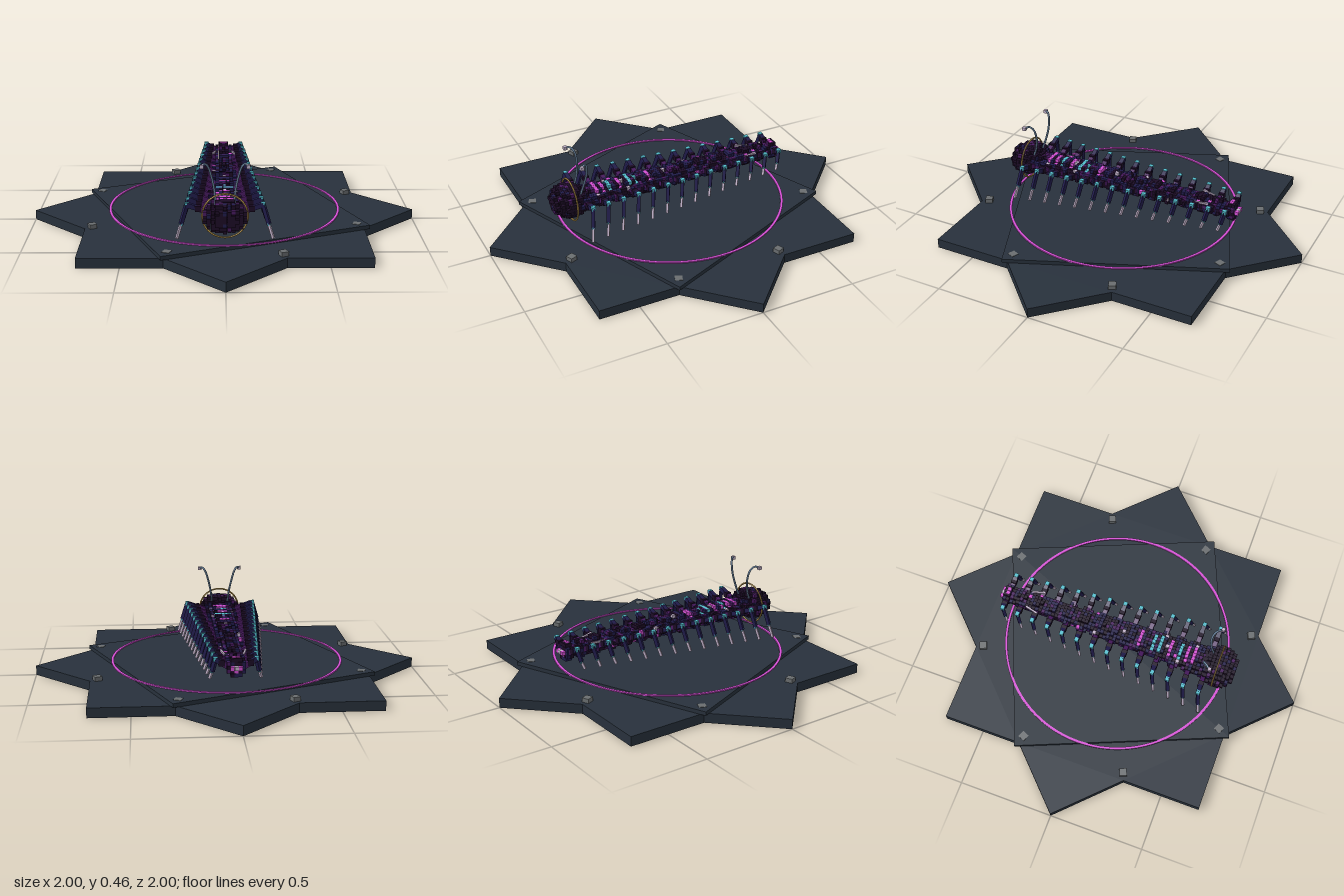
import * as THREE from 'three';
import { mergeGeometries } from 'three/addons/utils/BufferGeometryUtils.js';

const mat = (name, color) => {
  const m = new THREE.MeshStandardMaterial({ color });
  m.name = name;
  return m;
};

export function createModel() {
  const M = {
    slate: mat('slate', 0x28313c),
    grey: mat('marker grey', 0x6a6e70),
    magenta: mat('magenta', 0xd650d6),
    gold: mat('gold', 0xb8964a),
    plum: mat('dark plum', 0x1c0c26),
    indigo: mat('indigo', 0x211c4c),
    violet: mat('violet', 0x481a60),
    cyan: mat('cyan', 0x55c0d0),
    pale: mat('pale lilac', 0xc4b4cc),
    steel: mat('steel blue', 0x6c86a2),
  };
  const root = new THREE.Group();
  const add = (name, geo, material, parent = root) => {
    const mesh = new THREE.Mesh(geo, material);
    mesh.name = name;
    parent.add(mesh);
    return mesh;
  };
  let seed = 7;
  const rnd = () => (seed = (seed * 16807) % 2147483647) / 2147483647;
  const V = (x, y, z) => new THREE.Vector3(x, y, z);
  const slab = (shape, depth, curveSegments = 12) =>
    new THREE.ExtrudeGeometry(shape, { depth, bevelEnabled: false, curveSegments }).rotateX(-Math.PI / 2);

  // Eight-pointed plinth
  const star = new THREE.Shape();
  for (let i = 0; i < 16; i++) {
    const r = i % 2 ? Math.SQRT1_2 / Math.cos(Math.PI / 8) : 1;
    const a = (i * Math.PI) / 8;
    star[i ? 'lineTo' : 'moveTo'](r * Math.cos(a), r * Math.sin(a));
  }
  star.closePath();
  add('plinth', slab(star, 0.05), M.slate);

  // Turned square deck
  const deck = add('deck', new THREE.BoxGeometry(1.125, 0.02, 1.125), M.slate);
  deck.position.y = 0.06;
  deck.rotation.y = Math.PI / 8;

  // Flat floor ring
  const band = new THREE.Shape().absarc(0, 0, 0.607, 0, Math.PI * 2);
  band.holes.push(new THREE.Path().absarc(0, 0, 0.594, 0, Math.PI * 2, true));
  add('floorRing', slab(band, 0.006, 48), M.magenta).position.y = 0.07;

  // Corner markers
  for (let i = 0; i < 8; i++) {
    const a = Math.PI / 8 + (i * Math.PI) / 4;
    const marker = add('marker', new THREE.BoxGeometry(0.038, 0.024, 0.038), M.grey);
    marker.position.set(0.725 * Math.cos(a), 0.06, 0.725 * Math.sin(a));
    marker.rotation.y = -a;
  }

  // Cubes and beams are gathered by colour, then merged
  const makeBuilder = (name) => {
    const bins = {};
    const put = (key, g) => (bins[key] ??= []).push(g);
    return {
      cube: (key, p, s) => put(key, new THREE.BoxGeometry(s, s, s).translate(p.x, p.y, p.z)),
      beam(key, a, b, w) {
        const d = b.clone().sub(a);
        const g = new THREE.BoxGeometry(w, w, d.length());
        g.lookAt(d);
        const c = a.clone().add(b).multiplyScalar(0.5);
        put(key, g.translate(c.x, c.y, c.z));
      },
      finish() {
        const parent = new THREE.Group();
        parent.name = name;
        root.add(parent);
        for (const k in bins) add(`${name} ${M[k].name}`, mergeGeometries(bins[k]), M[k], parent);
      },
    };
  };

  // Segmented body: a shell of cubes tapering to the tail
  const step = 0.0185, midY = 0.207, pitch = 0.0862;
  const stripes = [
    [0.43, 'magenta'], [0.39, 'magenta'], [0.36, 'cyan'], [0.295, 'magenta'],
    [0.25, 'cyan'], [0.195, 'cyan'], [0.13, 'magenta'],
  ];
  const body = makeBuilder('body');
  for (let z = 0.5; z > -0.645; z -= step) {
    const t = (0.5 - z) / 1.14;
    const phase = Math.cos(((z - 0.5) / pitch) * 2 * Math.PI);
    const w = 0.082 - 0.04 * t + 0.006 * phase;
    const h = 0.041 - 0.004 * t + 0.003 * phase;
    const stripe = stripes.find(([sz]) => Math.abs(sz - z) <= step / 2);
    const inside = (i, j) => Math.abs((i * step) / w) ** 2.4 + Math.abs((j * step) / h) ** 2.4 <= 1;
    for (let i = -5; i <= 5; i++) {
      for (let j = -3; j <= 3; j++) {
        if (!inside(i, j)) continue;
        const edge = !inside(i + 1, j) || !inside(i - 1, j) || !inside(i, j + 1) || !inside(i, j - 1);
        if (!edge && z > -0.6) continue;
        const r = rnd();
        let key = r < 0.46 ? 'plum' : r < 0.83 ? 'indigo' : r < 0.965 ? 'violet' : r < 0.99 ? 'magenta' : 'pale';
        if (stripe && Math.abs(i) < 3 && j > 0 && !inside(i, j + 1)) key = stripe[1];
        body.cube(key, V(i * step, midY + j * step, z), step * 0.95);
      }
    }
  }
  // Tail tip and trailing filaments
  for (const x of [-1, 0, 1]) body.cube(x ? 'magenta' : 'pale', V(x * 0.02, midY, -0.648), 0.019);
  for (const x of [-1, 1]) body.cube('magenta', V(x * 0.01, 0.247, -0.615), 0.018);
  for (const s of [-1, 1]) body.beam('pale', V(s * 0.045, 0.232, -0.5), V(s * 0.062, 0.238, -0.43), 0.009);
  body.finish();

  // Fourteen pairs of jointed legs
  const legs = makeBuilder('legs');
  for (let i = 0; i < 14; i++) {
    const s = 1 - (0.47 * i) / 13;
    const z = 0.505 - i * pitch;
    for (const m of [-1, 1]) {
      const hip = V(m * 0.065 * s, midY, z);
      const knee = V(m * 0.185 * s, 0.25 - 0.012 * (1 - s), z + 0.004);
      const ankle = V(m * 0.213 * s, 0.21 - 0.055 * s, z + 0.018);
      const foot = V(m * 0.234 * s, 0.21 - 0.125 * s, z + 0.03);
      const mid = hip.clone().lerp(knee, 0.55);
      legs.beam('violet', hip, mid, 0.025);
      legs.beam('indigo', mid, knee, 0.023);
      legs.cube('plum', mid, 0.029);
      legs.cube('cyan', knee, 0.021);
      legs.beam('indigo', knee, ankle, 0.018);
      legs.cube('cyan', ankle, 0.014);
      legs.beam('pale', ankle, foot, 0.012);
    }
  }
  legs.finish();

  // Rounded cube head
  const head = makeBuilder('head');
  const hs = 0.0195;
  const inHead = (i, j, k) => ((i * hs) / 0.108) ** 2 + ((j * hs) / 0.075) ** 2 + ((k * hs) / 0.094) ** 2 <= 1;
  const axes = [[1, 0, 0], [0, 1, 0], [0, 0, 1]];
  for (let i = -5; i <= 5; i++)
    for (let j = -4; j <= 4; j++)
      for (let k = -5; k <= 5; k++) {
        if (!inHead(i, j, k)) continue;
        if (axes.every(([a, b, c]) => inHead(i + a, j + b, k + c) && inHead(i - a, j - b, k - c))) continue;
        const r = rnd();
        const key = r < 0.86 ? 'plum' : r < 0.94 ? 'violet' : 'indigo';
        head.cube(key, V(i * hs, 0.21 + j * hs, 0.568 + k * hs), hs * 0.95);
      }
  head.finish();

  // Gold halo around the head
  add('headRing', new THREE.TorusGeometry(0.11, 0.0045, 6, 48), M.gold).position.set(0, 0.21, 0.56);

  // Curled antennae
  for (const s of [-1, 1]) {
    const curve = new THREE.CatmullRomCurve3([
      V(s * 0.045, 0.25, 0.52), V(s * 0.05, 0.31, 0.5), V(s * 0.064, 0.38, 0.488),
      V(s * 0.082, 0.437, 0.495), V(s * 0.098, 0.455, 0.512), V(s * 0.112, 0.447, 0.53),
    ]);
    add('antenna', new THREE.TubeGeometry(curve, 24, 0.0055, 6), M.steel);
    add('antennaTip', new THREE.BoxGeometry(0.018, 0.018, 0.018), M.pale).position.set(s * 0.112, 0.447, 0.53);
  }
  return root;
}
